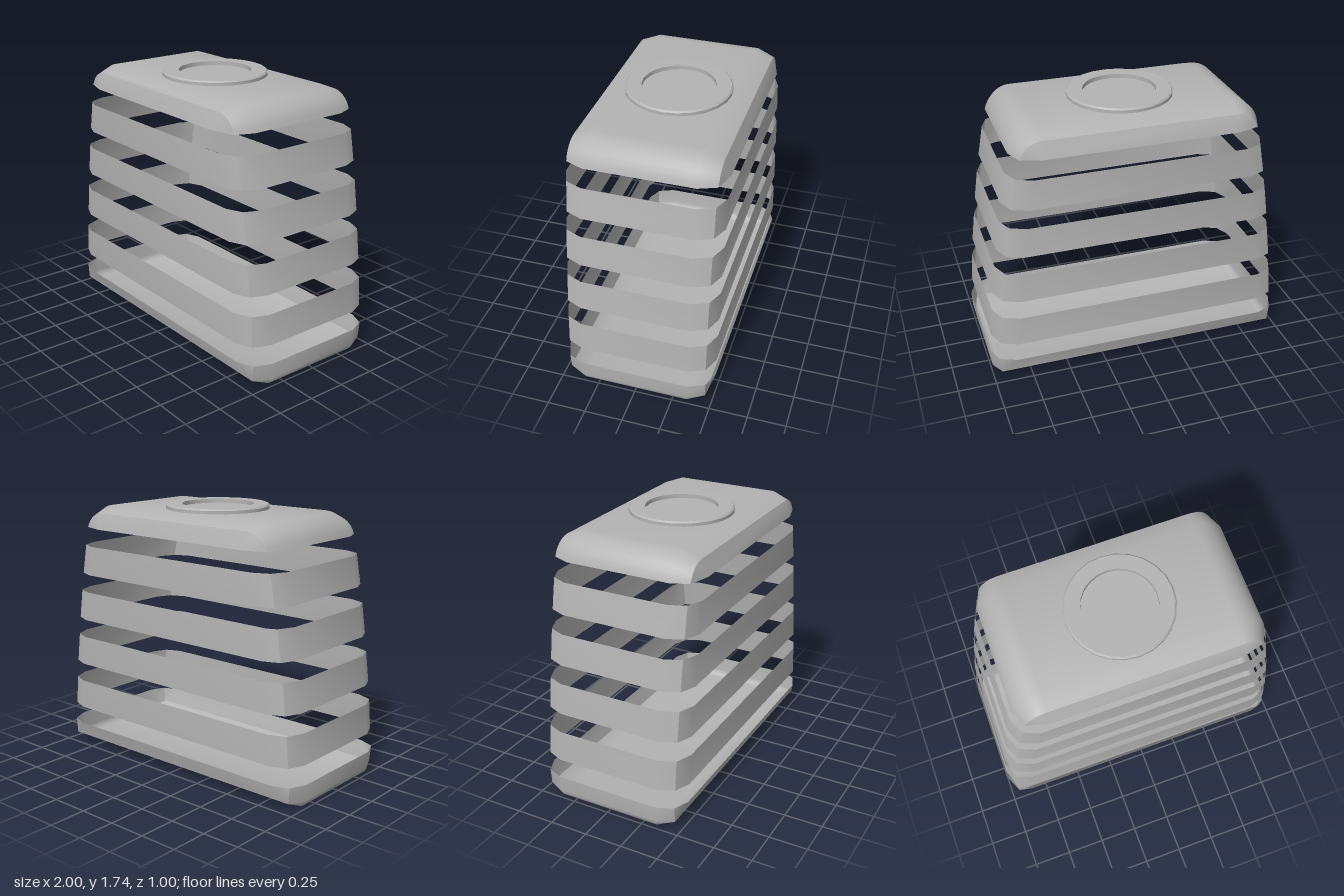
import * as THREE from 'three';
import { toCreasedNormals } from 'three/addons/utils/BufferGeometryUtils.js';

const CREASE = 0.6;
const metal = new THREE.MeshStandardMaterial({ color: 0xb4b4b4, side: THREE.DoubleSide });
metal.name = 'plain grey';

// Skin a grid of cross-sections (rows of [x, y, z]), leaving out collapsed triangles
function skin(name, rows, flip = false) {
  const points = rows.flat().map((p) => new THREE.Vector3(...p));
  const n = rows[0].length;
  const index = [];
  const addFace = (a, b, c) => {
    const area = new THREE.Triangle(points[a], points[b], points[c]).getArea();
    if (area > 1e-7) index.push(...(flip ? [a, c, b] : [a, b, c]));
  };
  for (let i = 0; i < rows.length - 1; i++) {
    for (let j = 0; j < n - 1; j++) {
      const a = i * n + j, b = a + n;
      addFace(a, a + 1, b);
      addFace(a + 1, b + 1, b);
    }
  }
  const geo = new THREE.BufferGeometry().setFromPoints(points);
  geo.setIndex(index);
  const mesh = new THREE.Mesh(toCreasedNormals(geo, CREASE), metal);
  mesh.name = name;
  return mesh;
}

// One cross-section across z: edge points mirrored front to back
function section(points) {
  const back = points.map(([x, y, z]) => [x, y, -z]).reverse();
  return [...back, ...points];
}

// Mirror the right-hand sections to the left end
function bothEnds(right) {
  const left = right.map((s) => s.map(([x, y, z]) => [-x, y, z])).reverse();
  return [...left, ...right];
}

// Chamfered rectangular strip, tapering from half width x0 to x1
function band(name, y0, x0, y1, x1) {
  const loop = (X, y) => {
    const q = [[X - 0.15, 0.5], [X - 0.045, 0.457], [X, 0.35]];
    const r = [...q].reverse();
    const plan = [
      ...q,
      ...r.map(([x, z]) => [x, -z]),
      ...q.map(([x, z]) => [-x, -z]),
      ...r.map(([x, z]) => [-x, z]),
    ];
    plan.push(plan[0]);
    return plan.map(([x, z]) => [x, y, z]);
  };
  return skin(name, [loop(x0, y0), loop(x1, y1)]);
}

// Open-bottomed cap with rounded ends and chamfered long edges
function topCap() {
  const cx = 0.615, cy = 1.515, rim = 1.56, steps = 8;
  const edge = [[0.195, 0.345], [0.15, 0.46], [0.045, 0.5]];
  const right = [];
  for (let k = 0; k <= steps; k++) {
    right.push(section(edge.map(([r, z]) => {
      const t = (k / steps) * Math.acos(Math.min(1, (rim - cy) / r));
      return [cx + r * Math.sin(t), cy + r * Math.cos(t), z];
    })));
  }
  return skin('topCap', bothEnds(right));
}

// Shallow open tray with small rounded ends
function baseTray() {
  const right = [];
  for (let k = 0; k <= 4; k++) {
    const t = (k / 4) * Math.PI / 2;
    right.push(section([
      [0.945 + 0.05 * Math.sin(t), 0.05 - 0.05 * Math.cos(t), 0.345],
      [0.945, 0.05, 0.457],
      [0.85, 0.155, 0.5],
    ]));
  }
  right.push(section([[1, 0.155, 0.35], [0.955, 0.155, 0.457], [0.85, 0.155, 0.5]]));
  return skin('baseTray', bothEnds(right), true);
}

// Raised collar with a softened outer lip
function collar() {
  const profile = [
    [0.235, 1.69], [0.34, 1.69], [0.34, 1.73], [0.33, 1.74], [0.235, 1.74], [0.235, 1.69],
  ].map(([r, y]) => new THREE.Vector2(r, y));
  const mesh = new THREE.Mesh(toCreasedNormals(new THREE.LatheGeometry(profile, 24), CREASE), metal);
  mesh.name = 'collar';
  return mesh;
}

export function createModel() {
  const model = new THREE.Group();
  model.name = 'slattedHousing';

  // Strips from bottom to top: lower y, half width, upper y, half width
  const strips = [
    [0.277, 0.986, 0.475, 0.97],
    [0.6, 0.957, 0.798, 0.932],
    [0.92, 0.917, 1.118, 0.888],
    [1.24, 0.868, 1.438, 0.832],
  ];
  strips.forEach((s, i) => model.add(band('strip' + (i + 1), ...s)));

  model.add(baseTray(), topCap(), collar());

  // Disc set inside the collar
  const disc = new THREE.Mesh(new THREE.CircleGeometry(0.236, 24).rotateX(-Math.PI / 2), metal);
  disc.name = 'collarDisc';
  disc.position.y = 1.713;
  model.add(disc);

  return model;
}
